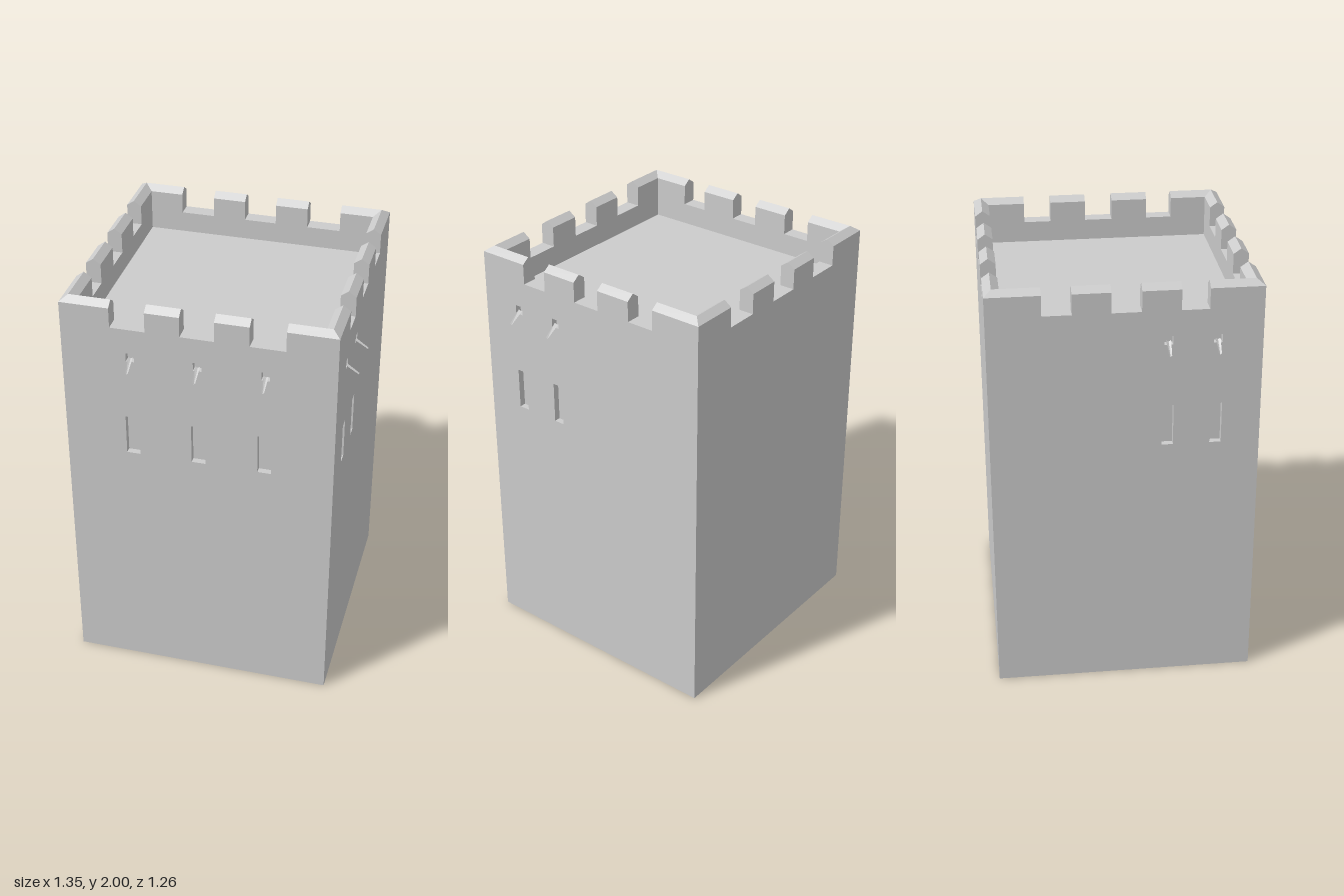
import * as THREE from 'three';

const X = 0.62, FRONT = 0.575, BACK = -0.635;
const MID_Z = (FRONT + BACK) / 2, HALF_Z = (FRONT - BACK) / 2;
const FLOOR = 1.78, NOTCH = 1.88, EAVE = 1.975, TOP = 2, T = 0.07;

const stone = new THREE.MeshStandardMaterial({ color: 0xcccccc, flatShading: true, side: THREE.DoubleSide });

function add(parent, geometry, name) {
  const mesh = new THREE.Mesh(geometry, stone);
  mesh.name = name;
  parent.add(mesh);
  return mesh;
}

// Surface from four-cornered faces, corners counter-clockwise
function sheet(quads) {
  const pos = [];
  for (const [a, b, c, d] of quads) pos.push(...a, ...b, ...c, ...a, ...c, ...d);
  const g = new THREE.BufferGeometry();
  g.setAttribute('position', new THREE.Float32BufferAttribute(pos, 3));
  g.computeVertexNormals();
  return g;
}

// Corners of an upright rectangle centred on (u, y) at depth z
const rect = (u, y, w, h, z) =>
  [[-1, -1], [1, -1], [1, 1], [-1, 1]].map(([a, b]) => [u + a * w / 2, y + b * h / 2, z]);

// Blind opening: four reveals and a back
function recess(u, y, w, h, depth) {
  const f = rect(u, y, w, h, 0), b = rect(u, y, w, h, -depth);
  const quads = [b];
  for (let i = 0; i < 4; i++) {
    const j = (i + 1) % 4;
    quads.push([f[i], f[j], b[j], b[i]]);
  }
  return sheet(quads);
}

// Small tapered V-shaped trough sloping out of the wall
function spout(u) {
  const ring = (y, z, w) => [[u - w, y, z], [u, y - 0.007, z], [u + w, y, z]];
  const a = ring(1.738, -0.01, 0.011), b = ring(1.694, 0.055, 0.007);
  return sheet([0, 1].map(i => [a[i], b[i], b[i + 1], a[i + 1]]));
}

// One side in its own frame: u along the wall, z outwards
function buildSide(name, half, gaps, openings, windowWidth) {
  const side = new THREE.Group();
  side.name = name;

  // Outer face with notched top and openings
  const outline = [[-half, 0], [half, 0], [half, EAVE]];
  for (const [g0, g1] of [...gaps].reverse())
    outline.push([g1, EAVE], [g1, NOTCH], [g0, NOTCH], [g0, EAVE]);
  outline.push([-half, EAVE]);
  const face = new THREE.Shape(outline.map(p => new THREE.Vector2(...p)));
  for (const u of openings) {
    for (const [y, w, h, depth, label] of [
      [1.328, windowWidth, 0.195, 0.03, 'window'], [1.74, 0.038, 0.04, 0.03, 'drainHole']]) {
      face.holes.push(new THREE.Path(rect(u, y, w, h, 0).map(p => new THREE.Vector2(p[0], p[1]))));
      add(side, recess(u, y, w, h, depth), label);
    }
    add(side, spout(u), 'spout');
  }
  add(side, new THREE.ShapeGeometry(face), 'wall');

  // Ridged merlons, notch sills and inner parapet face, mitred at the corners
  const point = (u, [d, y]) => [Math.abs(u) === half ? u - Math.sign(u) * d : u, y, -d];
  const loft = (u0, u1, profile) => profile.slice(1).map((p, i) =>
    [point(u0, profile[i]), point(u1, profile[i]), point(u1, p), point(u0, p)]);
  const cheek = (u, dir) => [
    [[0, NOTCH], [T / 2, NOTCH], [T / 2, TOP], [0, EAVE]],
    [[T / 2, NOTCH], [T, NOTCH], [T, EAVE], [T / 2, TOP]],
  ].map(q => (dir > 0 ? q : [...q].reverse()).map(p => point(u, p)));

  const quads = [];
  const stops = [-half, ...gaps.flat(), half];
  for (let i = 0; i < stops.length - 1; i++) {
    if (i % 2 === 0) {
      quads.push(...loft(stops[i], stops[i + 1], [[0, EAVE], [T / 2, TOP], [T, EAVE], [T, FLOOR]]));
    } else {
      quads.push(...loft(stops[i], stops[i + 1], [[0, NOTCH], [T, NOTCH], [T, FLOOR]]));
      quads.push(...cheek(stops[i], 1), ...cheek(stops[i + 1], -1));
    }
  }
  add(side, sheet(quads), 'battlements');
  return side;
}

export function createModel() {
  const tower = new THREE.Group();
  tower.name = 'tower';

  const endGaps = [[-0.393, -0.233], [-0.077, 0.077], [0.233, 0.393]];
  const flankGaps = [[-0.365, -0.242], [-0.07, 0.062], [0.232, 0.362]];
  const flankOpenings = [-0.405, -0.188];
  const mirror = list => list.map(v => Array.isArray(v) ? [-v[1], -v[0]] : -v).reverse();

  const front = buildSide('frontSide', X, endGaps, [-0.305, 0, 0.305], 0.064);
  front.position.z = FRONT;

  const back = buildSide('backSide', X, endGaps, [], 0);
  back.position.z = BACK;
  back.rotation.y = Math.PI;

  const left = buildSide('leftSide', HALF_Z, flankGaps, flankOpenings, 0.052);
  left.position.set(X, 0, MID_Z);
  left.rotation.y = Math.PI / 2;

  const right = buildSide('rightSide', HALF_Z, mirror(flankGaps), mirror(flankOpenings), 0.052);
  right.position.set(-X, 0, MID_Z);
  right.rotation.y = -Math.PI / 2;

  tower.add(front, back, left, right);

  // Roof deck inside the parapet; the base stays open
  const deck = add(tower, new THREE.PlaneGeometry(2 * (X - T), 2 * (HALF_Z - T)), 'roofDeck');
  deck.rotation.x = -Math.PI / 2;
  deck.position.set(0, FLOOR, MID_Z);

  return tower;
}
